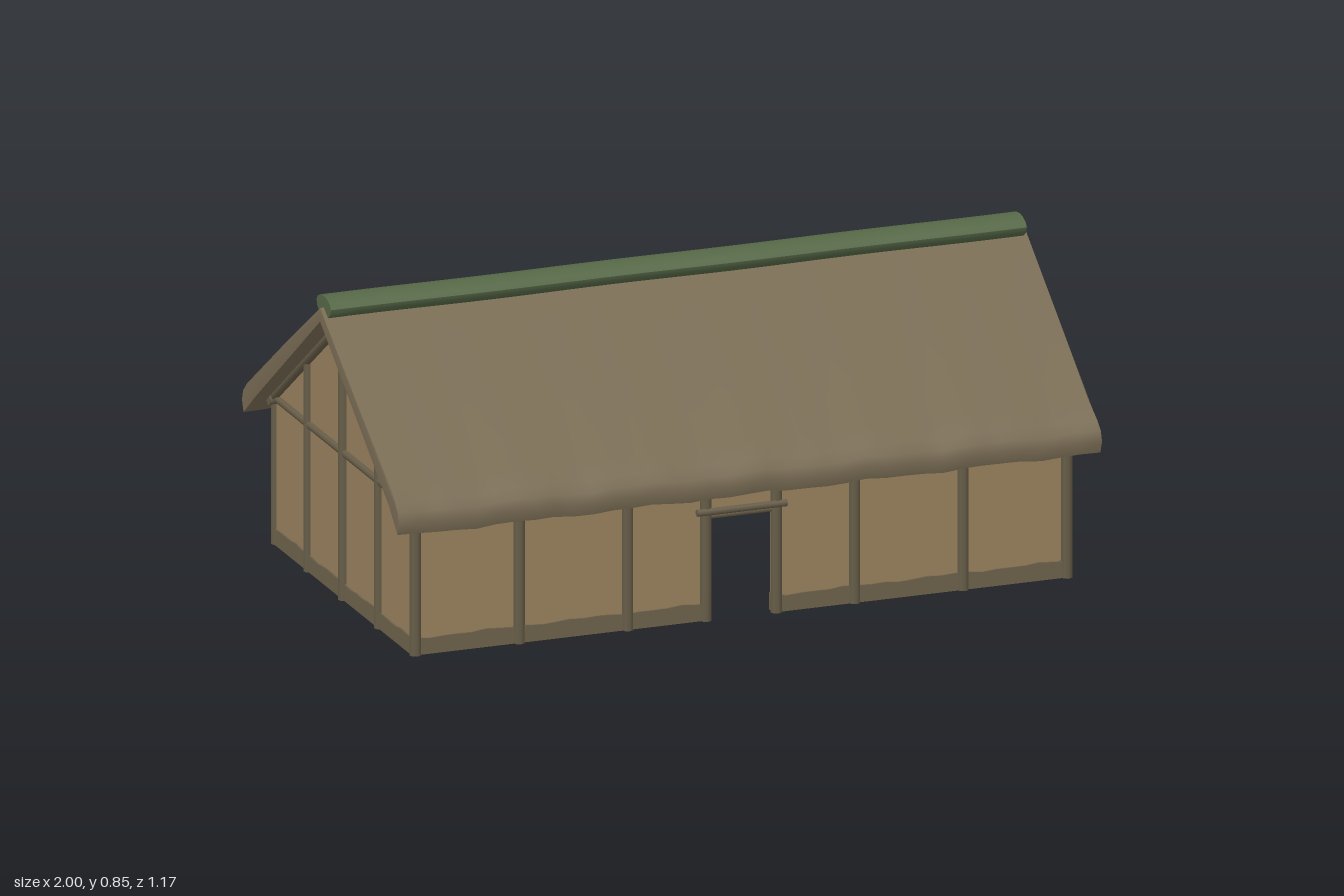
import * as THREE from 'three';
import { toCreasedNormals } from 'three/addons/utils/BufferGeometryUtils.js';

function material(name, color) {
  const m = new THREE.MeshStandardMaterial({ color });
  m.name = name;
  return m;
}

export function createModel() {
  const daub = material('daub', 0x9a835f);
  const timber = material('timber', 0x675d48);
  const thatch = material('thatch', 0x796c54);
  const dirt = material('dirt', 0x6f634c);
  const turf = material('turf', 0x566847);
  const model = new THREE.Group();
  model.name = 'longhouse';

  const add = (name, geometry, mat, x = 0, y = 0, z = 0) => {
    const mesh = new THREE.Mesh(geometry, mat);
    mesh.name = name;
    mesh.position.set(x, y, z);
    model.add(mesh);
    return mesh;
  };

  // Round pole between two points
  const pole = (name, a, b, r = 0.014) => {
    const from = new THREE.Vector3(...a), to = new THREE.Vector3(...b);
    const dir = to.clone().sub(from);
    const mesh = add(name, new THREE.CylinderGeometry(r, r, dir.length(), 8), timber);
    mesh.position.copy(from).add(to).multiplyScalar(0.5);
    mesh.quaternion.setFromUnitVectors(new THREE.Vector3(0, 1, 0), dir.normalize());
    return mesh;
  };

  const shapeOf = (pts) => new THREE.Shape(pts.map(([u, v]) => new THREE.Vector2(u, v)));
  const extrude = (pts, depth, steps = 1) => new THREE.ExtrudeGeometry(shapeOf(pts),
    { depth, steps, bevelEnabled: false }).translate(0, 0, -depth / 2);

  // Right half of an upright section, mirrored and extruded along x
  const alongX = (half, length, steps) => {
    const mirrored = half.filter(([u]) => u > 0).reverse().map(([u, v]) => [-u, v]);
    const top = half[0], bottom = half[half.length - 1];
    const pts = [top, ...half.slice(1, -1), bottom, ...mirrored];
    return extrude(pts, length, steps).rotateY(Math.PI / 2);
  };

  // Move every vertex by a rule
  const reshape = (geometry, rule) => {
    const p = geometry.attributes.position;
    const v = new THREE.Vector3();
    for (let i = 0; i < p.count; i++) {
      v.fromBufferAttribute(p, i);
      rule(v);
      p.setXYZ(i, v.x, v.y, v.z);
    }
    geometry.computeVertexNormals();
    return geometry;
  };

  // Long walls, the front one with a doorway
  add('frontWall', extrude([[-0.92, 0], [-0.09, 0], [-0.09, 0.29], [0.09, 0.29], [0.09, 0],
    [0.92, 0], [0.92, 0.41], [-0.92, 0.41]], 0.02), daub, 0, 0, 0.5);
  add('backWall', new THREE.BoxGeometry(1.84, 0.41, 0.02), daub, 0, 0.205, -0.5);

  // Gable walls
  for (const s of [-1, 1]) {
    add('gableWall', extrude([[-0.505, 0], [0.505, 0], [0.505, 0.41], [0, 0.77], [-0.505, 0.41]], 0.02)
      .rotateY(Math.PI / 2), daub, s * 0.92);
  }

  // Damp band along the foot of the walls, with an uneven top
  const skirt = (length, x, z, turn) => {
    const geo = reshape(new THREE.BoxGeometry(length, 0.047, 0.03, Math.ceil(length * 24), 1, 1), (v) => {
      if (v.y > 0) v.y += 0.002 * Math.sin(v.x * 23) + 0.002 * Math.sin(v.x * 57 + 1);
    });
    if (turn) geo.rotateY(Math.PI / 2);
    add('wallSkirt', toCreasedNormals(geo, 0.6), dirt, x, 0.0235, z);
  };
  skirt(1.86, 0, -0.5, false);
  for (const s of [-1, 1]) {
    skirt(0.835, s * 0.5075, 0.5, false);
    skirt(1.02, s * 0.92, 0, true);
  }

  // Posts along the long walls
  for (const x of [-0.925, -0.63, -0.322, -0.1, 0.1, 0.322, 0.63, 0.925]) {
    pole('frontPost', [x, 0, 0.511], [x, 0.41, 0.511], 0.016);
  }
  for (const x of [-0.925, -0.63, -0.322, 0, 0.322, 0.63, 0.925]) {
    pole('backPost', [x, 0, -0.511], [x, 0.41, -0.511], 0.016);
  }

  // Door frame
  pole('doorLintel', [-0.13, 0.305, 0.523], [0.125, 0.305, 0.523], 0.01);
  pole('doorHead', [-0.095, 0.289, 0.508], [0.095, 0.289, 0.508], 0.009);

  // Gable framing
  for (const s of [-1, 1]) {
    const x = s * 0.931;
    pole('gableCentrePost', [x, 0, 0], [x, 0.77, 0], 0.016);
    pole('gableTie', [x, 0.41, -0.51], [x, 0.41, 0.51], 0.011);
    for (const z of [-0.26, 0.26]) pole('gablePost', [x, 0, z], [x, 0.59, z], 0.014);
  }

  // Wall plates, ridge pole, rafters
  for (const s of [-1, 1]) {
    pole('wallPlate', [-0.95, 0.405, s * 0.507], [0.95, 0.405, s * 0.507], 0.016);
    for (const x of [-0.935, -0.63, -0.322, 0, 0.322, 0.63, 0.935]) {
      pole('rafter', [x, 0.772, 0], [x, 0.405, s * 0.515], 0.013);
    }
  }
  pole('ridgePole', [-0.96, 0.77, 0], [0.96, 0.77, 0], 0.018);

  // Inner posts and tie beams
  for (const x of [-0.32, 0.32]) {
    pole('innerPost', [x, 0, 0], [x, 0.77, 0], 0.018);
    pole('tieBeam', [x, 0.41, -0.5], [x, 0.41, 0.5], 0.014);
  }

  // Thatched roof with rounded, slightly ragged eaves
  const roofHalf = [[0, 0.82], [0.25, 0.652], [0.5, 0.48], [0.55, 0.443], [0.573, 0.418],
    [0.581, 0.39], [0.571, 0.357], [0.5, 0.418], [0, 0.782]];
  // The underside peak closes the section
  const upper = roofHalf.slice(0, -1);
  const section = [...upper, roofHalf[8],
    ...upper.slice(1).reverse().map(([u, v]) => [-u, v])];
  const roof = reshape(extrude(section, 1.99, 36).rotateY(Math.PI / 2), (v) => {
    const eave = THREE.MathUtils.smoothstep(Math.abs(v.z), 0.45, 0.57);
    const side = Math.sign(v.z);
    v.y += eave * (0.003 * Math.sin(v.x * 19 + side) + 0.002 * Math.sin(v.x * 43));
    v.z += side * eave * 0.002 * Math.sin(v.x * 31 + 2 * side);
    if (Math.abs(v.x) > 0.98) v.x += 0.004 * Math.sin(v.z * 21 + v.x);
  });
  add('thatchedRoof', toCreasedNormals(roof, 0.6), thatch);

  // Turf cap along the ridge
  const cap = reshape(alongX([[0, 0.852], [0.025, 0.849], [0.045, 0.84], [0.053, 0.828],
    [0.05, 0.814], [0.03, 0.798], [0, 0.795]], 1.975, 24), (v) => {
    v.z += 0.002 * Math.sin(v.x * 9);
  });
  add('ridgeTurf', toCreasedNormals(cap, 0.7), turf);

  return model;
}
